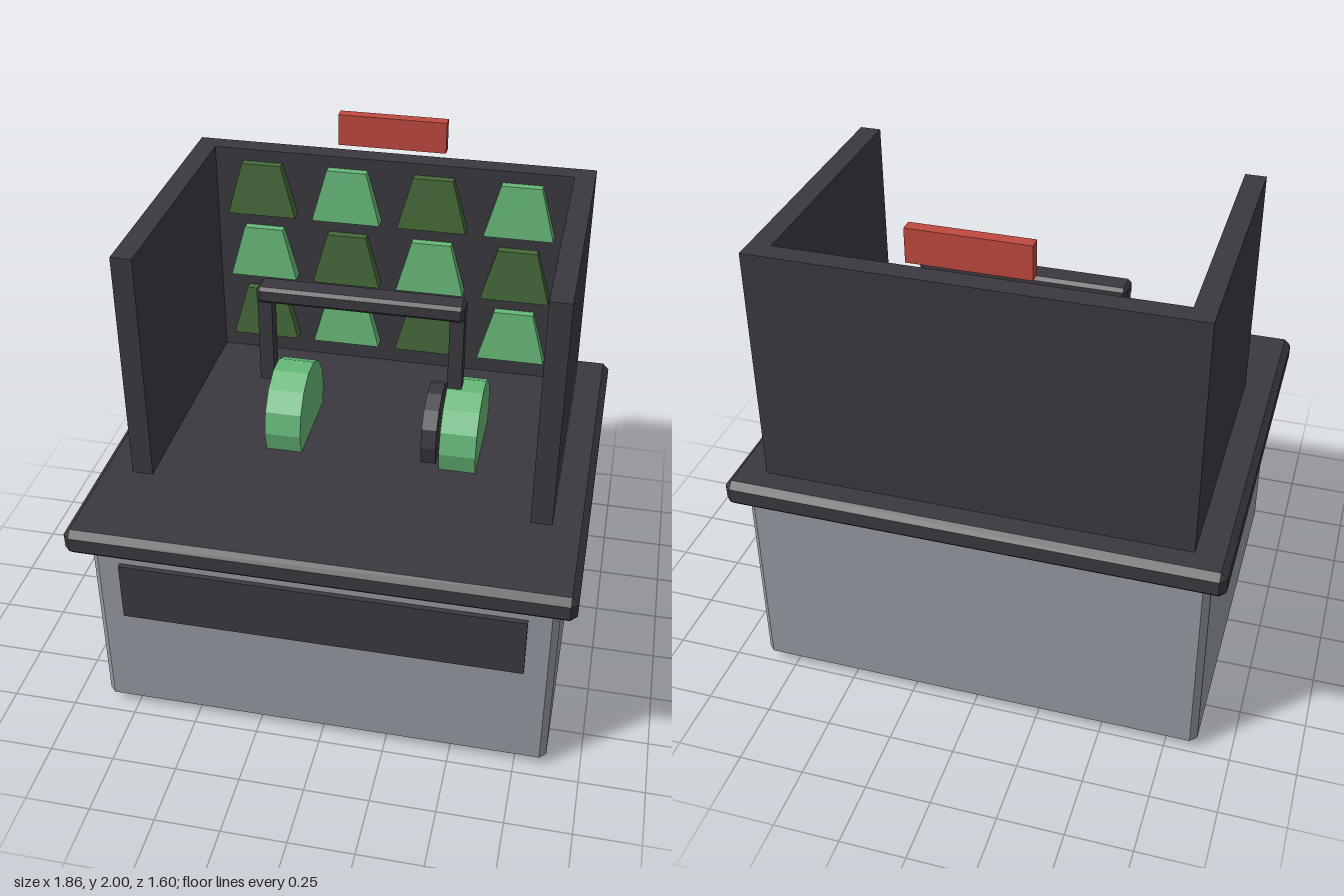
import * as THREE from 'three';
import { ConvexGeometry } from 'three/addons/geometries/ConvexGeometry.js';

const mat = (name, color) => {
  const m = new THREE.MeshStandardMaterial({ color });
  m.name = name;
  m.flatShading = true;
  return m;
};

// Box with every edge bevelled by c
function chamferBox(w, h, d, c) {
  const pts = [];
  for (const x of [-1, 1]) for (const y of [-1, 1]) for (const z of [-1, 1]) {
    const [a, b, e] = [w / 2, h / 2, d / 2];
    pts.push(
      new THREE.Vector3(x * a, y * (b - c), z * (e - c)),
      new THREE.Vector3(x * (a - c), y * b, z * (e - c)),
      new THREE.Vector3(x * (a - c), y * (b - c), z * e));
  }
  return new ConvexGeometry(pts);
}

export function createModel() {
  const group = new THREE.Group();
  group.name = 'marketStall';
  const dark = mat('charcoal', 0x3b393f);
  const grey = mat('bodyGrey', 0x959aa2);
  const light = mat('lightGreen', 0x66b878);
  const deep = mat('darkGreen', 0x456939);
  const red = mat('signRed', 0xc0493f);

  const add = (name, geo, material, x, y, z) => {
    const mesh = new THREE.Mesh(geo, material);
    mesh.name = name;
    mesh.position.set(x, y, z);
    group.add(mesh);
    return mesh;
  };
  // Part given by its extents, optionally bevelled
  const block = (name, m, x0, x1, y0, y1, z0, z1, c = 0) => add(name,
    c ? chamferBox(x1 - x0, y1 - y0, z1 - z0, c) : new THREE.BoxGeometry(x1 - x0, y1 - y0, z1 - z0),
    m, (x0 + x1) / 2, (y0 + y1) / 2, (z0 + z1) / 2);

  // Cabinet and counter
  block('plinth', dark, -0.825, 0.825, 0, 0.06, -0.69, 0.65);
  block('cabinet', grey, -0.87, 0.87, 0.02, 0.82, -0.74, 0.7, 0.025);
  block('frontPanel', dark, -0.76, 0.76, 0.48, 0.72, 0.69, 0.72);
  block('counter', dark, -0.93, 0.93, 0.81, 0.915, -0.8, 0.8, 0.025);

  // Surrounding walls
  block('backWall', dark, -0.8, 0.8, 0.91, 1.83, -0.695, -0.615);
  block('leftWall', dark, 0.72, 0.8, 0.91, 1.83, -0.615, 0.39);
  block('rightWall', dark, -0.8, -0.72, 0.91, 1.83, -0.615, 0.39);

  // Sign hovering over the back wall
  block('sign', red, -0.215, 0.215, 1.875, 2, -0.675, -0.63);

  // Checkered rows of tapered tiles on the back wall
  const tile = new THREE.CylinderGeometry(0.08 * Math.SQRT2, 0.139 * Math.SQRT2, 0.213, 4);
  tile.rotateY(Math.PI / 4);
  tile.scale(1, 1, 0.33);
  for (let row = 0; row < 3; row++) {
    for (let col = 0; col < 4; col++) {
      add('wallTile', tile, (row + col) % 2 ? light : deep,
        -0.523 + col * 0.349, 1.675 - row * 0.281, -0.607);
    }
  }

  // Wheels half sunk into the counter
  const wheel = (name, m, x, r, w) => {
    const geo = new THREE.CylinderGeometry(r, r, w, 14);
    geo.rotateZ(Math.PI / 2);
    add(name, geo, m, x, 0.995, -0.05);
  };
  wheel('rightWheel', light, -0.27, 0.2, 0.14);
  wheel('leftWheel', light, 0.41, 0.2, 0.14);
  wheel('wheelDisc', dark, 0.294, 0.17, 0.058);

  // Overhead handle bar with two posts
  block('handleBar', dark, -0.395, 0.395, 1.485, 1.55, -0.095, 0.003, 0.013);
  for (const s of [-1, 1]) {
    add('handlePost', new THREE.BoxGeometry(0.055, 0.37, 0.06), dark, s * 0.367, 1.325, -0.046);
  }
  return group;
}
